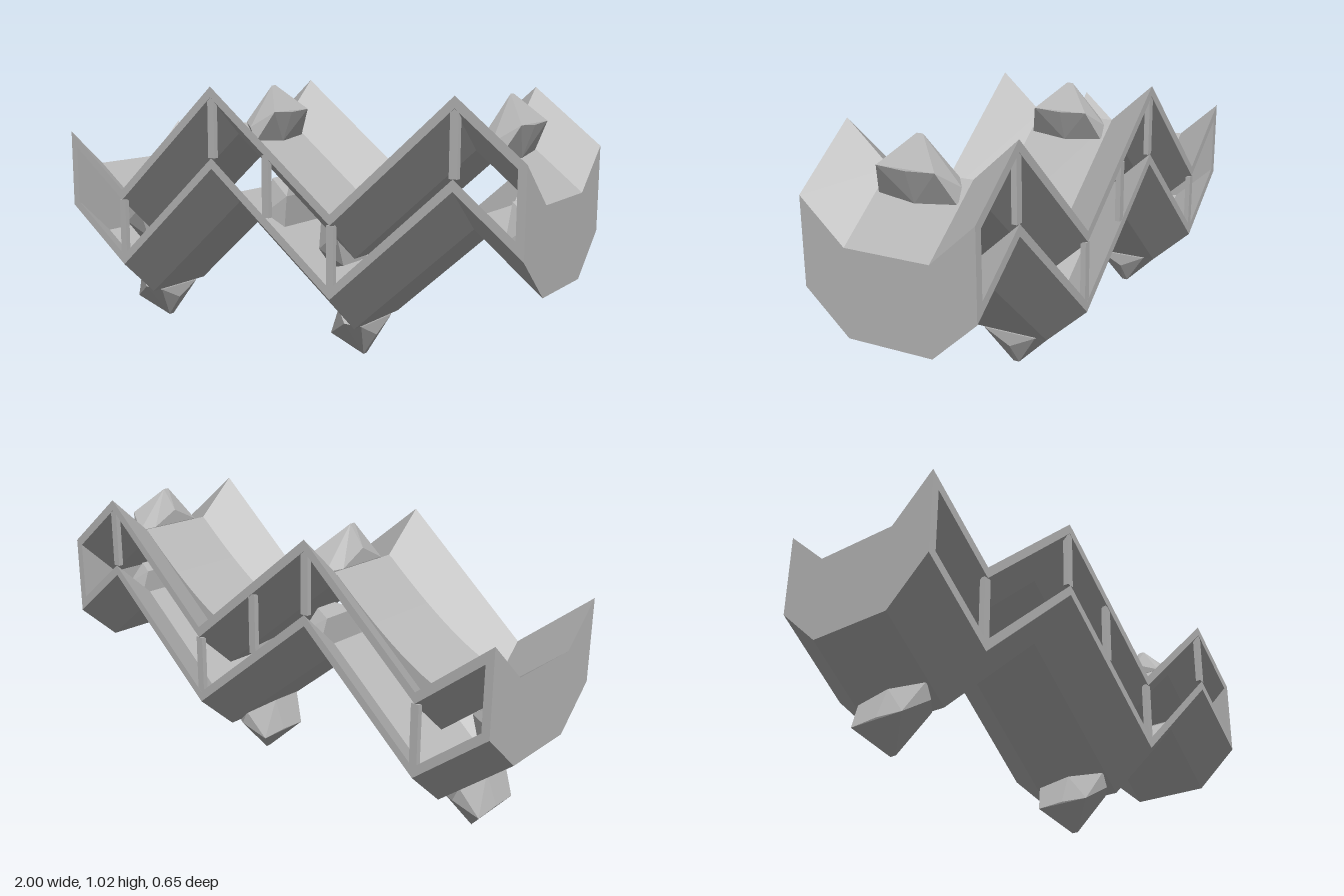
import * as THREE from 'three';
import { ConvexGeometry } from 'three/addons/geometries/ConvexGeometry.js';

const PATH = [[-1, 0.815], [-0.72, 0.595], [-0.25, 1.02], [0.28, 0.595], [0.75, 1.02], [1, 0.82]];
const HEIGHT = 0.305, SLAB = 0.04;

// Height of the zigzag top edge at x
function topAt(x) {
  for (let i = 1; i < PATH.length; i++) {
    const [x0, y0] = PATH[i - 1], [x1, y1] = PATH[i];
    if (x <= x1) return y0 + (y1 - y0) * (x - x0) / (x1 - x0);
  }
  return PATH[PATH.length - 1][1];
}

// Trough-shaped cross-section swept along x, dropped below the top edge
function trough(xs, drop, thick) {
  const top = [[-0.325, 0], [-0.16, -0.147], [0.16, -0.147], [0.325, 0]];
  const ring = [...top, ...top.map(([z, y]) => [z, y - thick]).reverse()];
  const rings = xs.map(x => ring.map(([z, y]) => [x, topAt(x) - drop + y, z]));
  const pos = [];
  const quad = (a, b, c, d) => pos.push(...a, ...b, ...c, ...a, ...c, ...d);
  for (let i = 0; i < rings.length - 1; i++)
    for (let j = 0; j < 8; j++) {
      const k = (j + 1) % 8;
      quad(rings[i][j], rings[i][k], rings[i + 1][k], rings[i + 1][j]);
    }
  const s = rings[0], e = rings[rings.length - 1];
  for (let j = 0; j < 3; j++) {
    quad(e[j], e[j + 1], e[6 - j], e[7 - j]);
    quad(s[7 - j], s[6 - j], s[j + 1], s[j]);
  }
  const g = new THREE.BufferGeometry();
  g.setAttribute('position', new THREE.Float32BufferAttribute(pos, 3));
  g.computeVertexNormals();
  return g;
}

// Convex solid mirrored across z = 0
const mirroredHull = points => new ConvexGeometry(points.flatMap(([x, y, z]) =>
  [1, -1].map(s => new THREE.Vector3(x, y, z * s))));

export function createModel() {
  const model = new THREE.Group();
  model.name = 'zigzagTrough';
  const grey = new THREE.MeshStandardMaterial({ color: 0xb8b8b8 });
  grey.name = 'grey';
  const add = (parent, geo, name) => {
    const m = new THREE.Mesh(geo, grey);
    m.name = name;
    parent.add(m);
    return m;
  };

  // Upper and lower folded slabs, closed at both ends
  const xs = PATH.map(p => p[0]);
  add(model, trough(xs, 0, SLAB), 'upperSlab');
  add(model, trough(xs, HEIGHT - SLAB, SLAB), 'lowerSlab');
  add(model, trough([-1, -0.97], 0, HEIGHT), 'rightEndWall');
  add(model, trough([0.97, 1], 0, HEIGHT), 'leftEndWall');

  // Window posts on both long sides
  for (const x of [-0.72, -0.25, 0, 0.28, 0.75])
    for (const side of [-1, 1]) {
      const post = add(model, new THREE.BoxGeometry(0.03, HEIGHT - 2 * SLAB, 0.02), 'windowPost');
      post.position.set(x, topAt(x) - HEIGHT / 2, side * 0.314);
    }

  // Curved fillet that rounds the valley of the upper floor
  const fillet = new THREE.Shape();
  fillet.moveTo(-0.82, 0.527);
  fillet.lineTo(-0.72, 0.43);
  fillet.lineTo(-0.26, 0.845);
  fillet.lineTo(-0.26, 0.866);
  fillet.quadraticCurveTo(-0.62, 0.54, -0.79, 0.53);
  const filletGeo = new THREE.ExtrudeGeometry(fillet, { depth: 0.32, bevelEnabled: false, curveSegments: 16 });

  // Faceted lug behind the peak, and its root inside the channel
  const cx = -0.485, cy = 0.507;
  const lugGeo = mirroredHull([[-0.2, 1.013, 0.012], [-0.115, 0.918, 0.11], [-0.113, 0.912, 0],
    [-0.175, 0.805, 0.15], [-0.157, 0.797, 0], [-0.2, 0.86, 0.15], [-0.25, 0.875, 0.11],
    [-0.25, 0.93, 0], [-0.23, 0.82, 0.1]]);
  const rootGeo = mirroredHull([[-0.15, 0.66, 0.08], [-0.08, 0.68, 0.05], [-0.06, 0.6, 0.11],
    [-0.15, 0.53, 0.13], [-0.07, 0.48, 0.11]]);
  for (const g of [lugGeo, rootGeo]) g.translate(-cx, -cy, 0);

  // Each rising run has a lug at its peak and, turned half round, at its valley
  for (const shift of [0, 1]) {
    add(model, filletGeo, 'valleyFillet').position.set(shift, 0, -0.16);
    for (const turn of [0, Math.PI]) {
      const coupling = new THREE.Group();
      coupling.name = turn ? 'lowerCoupling' : 'upperCoupling';
      coupling.position.set(cx + shift, cy, 0);
      coupling.rotation.z = turn;
      add(coupling, lugGeo, 'facetedLug');
      add(coupling, rootGeo, 'lugRoot');
      model.add(coupling);
    }
  }
  return model;
}
